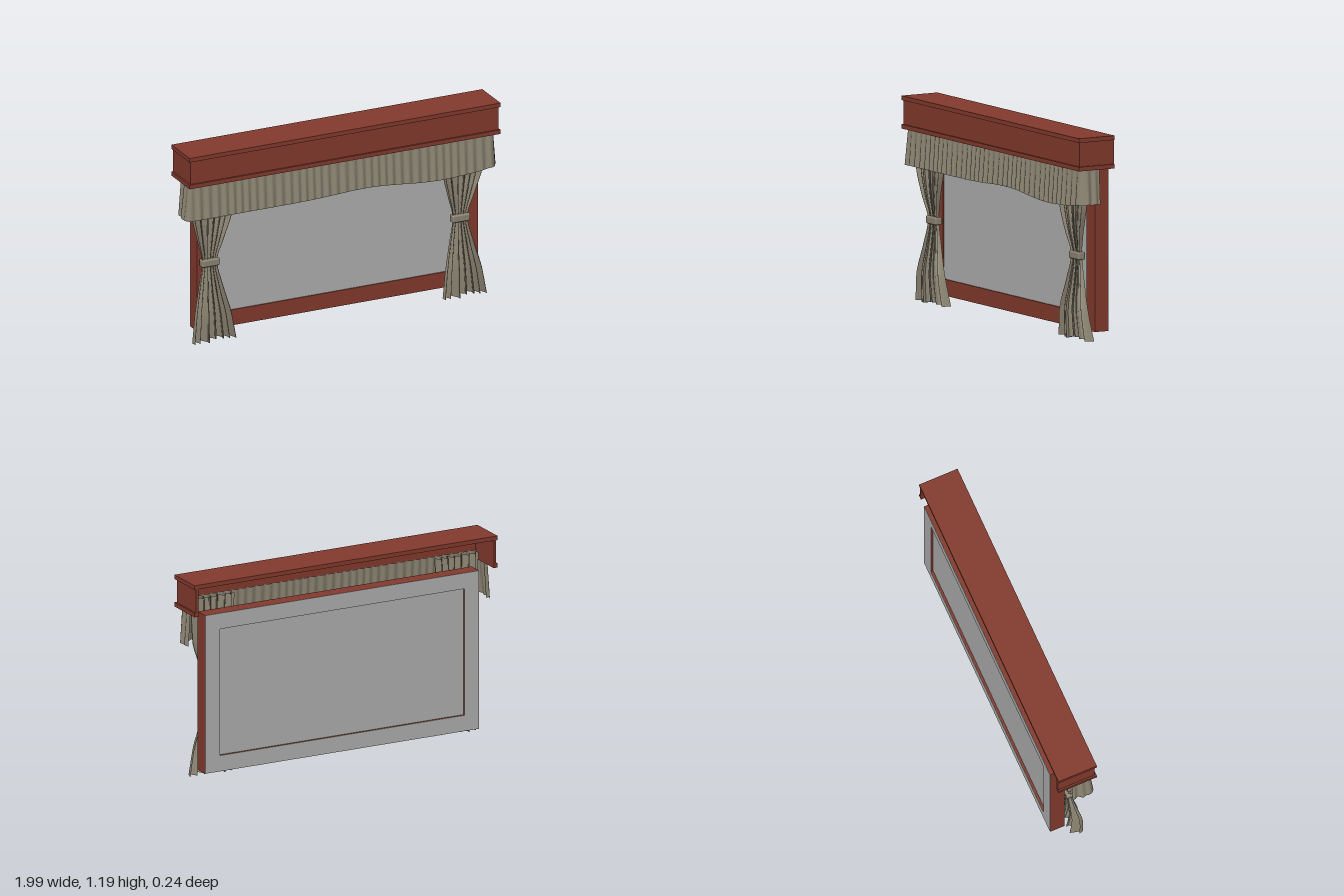
import * as THREE from 'three';
import { RoundedBoxGeometry } from 'three/addons/geometries/RoundedBoxGeometry.js';

const wood = new THREE.MeshStandardMaterial({ color: 0x843a2d });
wood.name = 'red wood';
const glass = new THREE.MeshStandardMaterial({ color: 0xb0b0b0 });
glass.name = 'grey pane';
const cloth = new THREE.MeshStandardMaterial({ color: 0x8c8573, side: THREE.DoubleSide });
cloth.name = 'curtain cloth';

function add(parent, name, geometry, material) {
  const mesh = new THREE.Mesh(geometry, material);
  mesh.name = name;
  parent.add(mesh);
  return mesh;
}

// Box given by its lower and upper corners
function box(parent, name, material, [x0, y0, z0], [x1, y1, z1]) {
  const mesh = add(parent, name, new THREE.BoxGeometry(x1 - x0, y1 - y0, z1 - z0), material);
  mesh.position.set((x0 + x1) / 2, (y0 + y1) / 2, (z0 + z1) / 2);
  return mesh;
}

// Cloth surface from a rule: u runs across, v runs from top (0) to hem (1)
function sheet(rule, nu, nv) {
  const g = new THREE.PlaneGeometry(1, 1, nu, nv);
  const p = g.attributes.position;
  for (let j = 0, i = 0; j <= nv; j++) {
    for (let k = 0; k <= nu; k++, i++) p.setXYZ(i, ...rule(k / nu, j / nv));
  }
  g.computeVertexNormals();
  return g;
}

// Rectangular ring with a wide border, extruded along z
function ring(x0, y0, x1, y1, border, z, depth) {
  const rect = (T, b) => new T([[x0 + b, y0 + b], [x1 - b, y0 + b], [x1 - b, y1 - b], [x0 + b, y1 - b]]
    .map(([x, y]) => new THREE.Vector2(x, y)));
  const shape = rect(THREE.Shape, 0);
  shape.holes.push(rect(THREE.Path, border));
  return new THREE.ExtrudeGeometry(shape, { depth, bevelEnabled: false }).translate(0, 0, z);
}

// U-shaped run of boards: front and two ends, open at the back
function boards(parent, name, x0, x1, y0, y1, z1, t) {
  box(parent, name + 'Front', wood, [x0, y0, z1 - t], [x1, y1, z1]);
  box(parent, name + 'RightEnd', wood, [x0, y0, -0.12], [x0 + t, y1, z1 - t]);
  box(parent, name + 'LeftEnd', wood, [x1 - t, y0, -0.12], [x1, y1, z1 - t]);
}

// Pleated valance following a U-shaped rail with rounded corners
function valanceGeometry() {
  const rail = new THREE.Path();
  rail.moveTo(-0.965, -0.03);
  rail.lineTo(-0.965, 0.065);
  rail.quadraticCurveTo(-0.965, 0.085, -0.945, 0.085);
  rail.lineTo(0.95, 0.085);
  rail.quadraticCurveTo(0.97, 0.085, 0.97, 0.065);
  rail.lineTo(0.97, -0.03);
  const bump = (x, c, w) => Math.exp(-(((x - c) / w) ** 2));
  return sheet((u, v) => {
    const p = rail.getPointAt(u), t = rail.getTangentAt(u);
    const wave = Math.sin(u * 84 * Math.PI + Math.sin(u * 31)) * (0.003 + 0.003 * v);
    let out = wave + 0.018 * v;
    if (p.x < -0.95) out += 0.014 * bump(p.y, 0.05, 0.03) * v;
    const hem = 0.795 + 0.016 * bump(p.x, 0.15, 0.25) - 0.018 * bump(p.x, 0.62, 0.25)
      + 0.01 * bump(p.x, 0.97, 0.08) + 0.4 * wave;
    return [p.x - t.y * out, 1.06 + (hem - 1.06) * v, p.y + t.x * out];
  }, 440, 8);
}

// Pleated curtain pinched at the tie; one centre line and one size curve
function curtainGeometry() {
  const V = (a) => new THREE.Vector3(...a);
  const centre = new THREE.CatmullRomCurve3([
    [0.005, 1.06, 0.033], [0.005, 0.79, 0.033], [0, 0.63, 0.024], [0, 0.49, 0.01],
    [0.003, 0.34, 0.018], [0.01, 0.18, 0.03], [0.022, 0.008, 0.02]].map(V));
  const size = new THREE.CatmullRomCurve3([
    [0.145, 0.03, 0], [0.13, 0.03, 0], [0.085, 0.022, 0], [0.049, 0.013, 0],
    [0.08, 0.022, 0], [0.12, 0.036, 0], [0.146, 0.046, 0]].map(V));
  return sheet((u, v) => {
    const c = centre.getPoint(v), s = size.getPoint(v);
    const a = u * 13 * Math.PI + 0.7 * Math.sin(u * 9) + 0.4 * v;
    const depth = s.y * (0.8 + 0.2 * Math.sin(u * 17 + 2));
    const x = s.x * (2 * u - 1) + s.x * 0.07 * Math.sin(2 * a) * Math.sin(Math.PI * u);
    const hem = v ** 4 * 0.008 * (1 + Math.sin(u * 8 + 3));
    return [c.x + x, c.y + hem, c.z + depth * Math.sin(a)];
  }, 110, 36);
}

export function createModel() {
  const model = new THREE.Group();
  model.name = 'curtainedWindow';

  // Window frame, pane and grey back face
  const frame = new THREE.Group();
  frame.name = 'windowFrame';
  model.add(frame);
  add(frame, 'frameBorder', ring(-0.865, 0.055, 0.925, 1.005, 0.095, -0.118, 0.088), wood);
  add(frame, 'frameBack', ring(-0.865, 0.055, 0.925, 1.005, 0.095, -0.12, 0.002), glass);
  box(frame, 'pane', glass, [-0.77, 0.15, -0.105], [0.83, 0.91, -0.037]);

  // Pelmet box, open behind and below
  const pelmet = new THREE.Group();
  pelmet.name = 'pelmet';
  model.add(pelmet);
  box(pelmet, 'pelmetTop', wood, [-0.985, 1.17, -0.12], [0.995, 1.195, 0.12]);
  boards(pelmet, 'pelmetPanel', -0.975, 0.985, 1.03, 1.17, 0.11, 0.015);
  boards(pelmet, 'pelmetTrim', -0.985, 0.995, 1.005, 1.03, 0.12, 0.025);

  add(model, 'valance', valanceGeometry(), cloth);

  // Two matching curtains with their ties
  const curtain = curtainGeometry();
  const tie = new RoundedBoxGeometry(0.113, 0.045, 0.046, 3, 0.009);
  for (const [name, x] of [['rightCurtain', -0.805], ['leftCurtain', 0.79]]) {
    const group = new THREE.Group();
    group.name = name;
    group.position.x = x;
    add(group, 'drape', curtain, cloth);
    const band = add(group, 'tieBand', tie, cloth);
    band.position.set(0, 0.488, 0.01);
    model.add(group);
  }
  return model;
}
